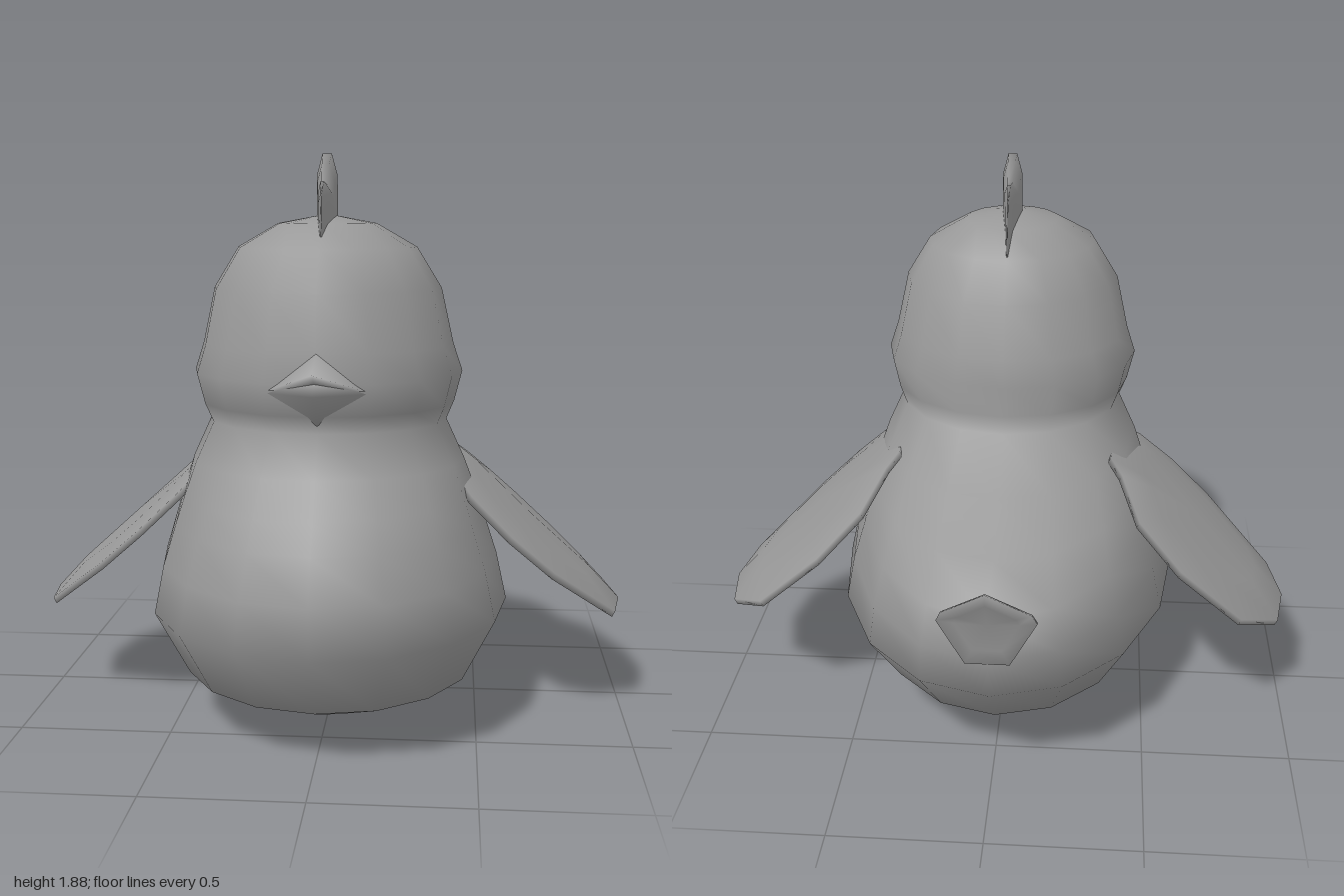
import * as THREE from 'three';
import { mergeVertices } from 'three/addons/utils/BufferGeometryUtils.js';

const mat = new THREE.MeshStandardMaterial({ color: 0x999999 });

// Smooth-shaded mesh from points and triangle indices
function add(group, name, points, index) {
  let g = new THREE.BufferGeometry();
  g.setAttribute('position', new THREE.Float32BufferAttribute(points.flat(), 3));
  g.setIndex(index);
  g = mergeVertices(g);
  g.computeVertexNormals();
  const mesh = new THREE.Mesh(g, mat);
  mesh.name = name;
  group.add(mesh);
}

// Skin over a stack of closed rings with equal point counts
function addSkin(group, name, rings) {
  const n = rings[0].length, idx = [];
  for (let i = 0; i < rings.length - 1; i++) {
    for (let j = 0; j < n; j++) {
      const a = i * n + j, b = i * n + (j + 1) % n;
      idx.push(a, b, a + n, b, b + n, a + n);
    }
  }
  add(group, name, rings.flat(), idx);
}

// Egg-shaped horizontal ring: height, half width, front z, back z, z of widest point
function eggRing([y, w, front, back, mid], n = 16) {
  return Array.from({ length: n }, (_, j) => {
    const a = (j / n) * Math.PI * 2, c = Math.cos(a);
    return [w * Math.sin(a), y, mid + c * (c > 0 ? front - mid : mid - back)];
  });
}

// Softly pillowed plate: outline around a centre, placed by a rule (a, b, depth) => [x, y, z]
function addPlate(group, name, outline, [ca, cb], rule) {
  const levels = [[0, -1], [0.65, -1], [1, -0.45], [1, 0.45], [0.65, 1], [0, 1]];
  addSkin(group, name, levels.map(([s, d]) =>
    outline.map(([a, b]) => rule(ca + (a - ca) * s, cb + (b - cb) * s, d))));
}

// Four-sided spike: base corners top, right, under, left, then the tip
function addSpike(group, name, points) {
  add(group, name, points, [0, 1, 2, 3].flatMap((i) => [i, (i + 1) % 4, 4]));
}

export function createModel() {
  const model = new THREE.Group();
  model.name = 'chick';

  // Body and head as one smooth skin
  addSkin(model, 'bodyAndHead', [
    [0.00, 0.00, 0.17, 0.17, 0.17],
    [0.05, 0.21, 0.43, -0.10, 0.17],
    [0.17, 0.49, 0.74, -0.56, 0.17],
    [0.39, 0.60, 0.91, -0.77, 0.17],
    [0.55, 0.565, 0.905, -0.82, 0.18],
    [0.69, 0.52, 0.85, -0.80, 0.20],
    [0.78, 0.49, 0.78, -0.60, 0.22],
    [0.89, 0.45, 0.70, -0.39, 0.25],
    [1.02, 0.39, 0.615, -0.15, 0.25],
    [1.08, 0.415, 0.67, -0.14, 0.25],
    [1.18, 0.44, 0.69, -0.135, 0.26],
    [1.27, 0.41, 0.67, -0.125, 0.27],
    [1.45, 0.37, 0.655, -0.07, 0.28],
    [1.58, 0.29, 0.58, 0.00, 0.28],
    [1.655, 0.16, 0.44, 0.10, 0.28],
    [1.685, 0.00, 0.28, 0.28, 0.28],
  ].map((ring) => eggRing(ring)));

  // Short open beak blending into the face
  const right = [-0.17, 1.15, 0.635], left = [0.17, 1.15, 0.635], mouth = [0, 1.19, 0.735];
  addSpike(model, 'upperBeak', [[0, 1.275, 0.665], right, mouth, left, [0, 1.225, 0.805]]);
  addSpike(model, 'lowerBeak', [mouth, right, [0, 1.05, 0.645], left, [0, 1.16, 0.8]]);

  // Comb: scalloped fin, thickest in the middle; outline is [z, y]
  addPlate(model, 'comb', [
    [0.50, 1.55], [0.52, 1.66], [0.515, 1.74], [0.46, 1.785], [0.38, 1.775],
    [0.35, 1.84], [0.29, 1.875], [0.23, 1.86], [0.17, 1.805], [0.10, 1.81],
    [0.04, 1.76], [0.035, 1.70], [0.01, 1.64], [0.02, 1.52], [0.28, 1.55],
  ], [0.28, 1.68], (z, y, d) => {
    const taper = Math.max(0.15, 1 - Math.abs(z - 0.28) / 0.28);
    return [-d * 0.034 * taper, y, z];
  });

  // Tail: pointed plate growing out of the rump and leaning back; outline is [x, y]
  addPlate(model, 'tail', [
    [-0.07, 0.54], [0.07, 0.54], [0.155, 0.70], [0.14, 0.74], [0, 0.835], [-0.14, 0.74], [-0.155, 0.70],
  ], [0, 0.69], (x, y, d) => [x, y - d * 0.008, -0.81 - Math.max(0, y - 0.67) * 0.5 + d * 0.022]);

  // Wings: sloping plates mirrored across the body; outline is [x, z]
  const wing = [
    [0.36, -0.10], [0.40, -0.15], [0.46, -0.35], [0.60, -0.43], [0.81, -0.40], [0.96, -0.20],
    [0.995, 0], [0.96, 0.21], [0.74, 0.41], [0.60, 0.45], [0.47, 0.41], [0.38, 0.25],
  ];
  for (const side of [1, -1]) {
    const outline = wing.map(([x, z]) => [x * side, z]);
    if (side > 0) outline.reverse();
    addPlate(model, side > 0 ? 'leftWing' : 'rightWing', outline, [0.68 * side, 0.02], (x, z, d) => {
      const y = 0.84 - 0.915 * (Math.abs(x) - 0.45) - 0.1 * Math.abs(z);
      return [x + side * d * 0.011, y + d * 0.022, z];
    });
  }
  return model;
}
